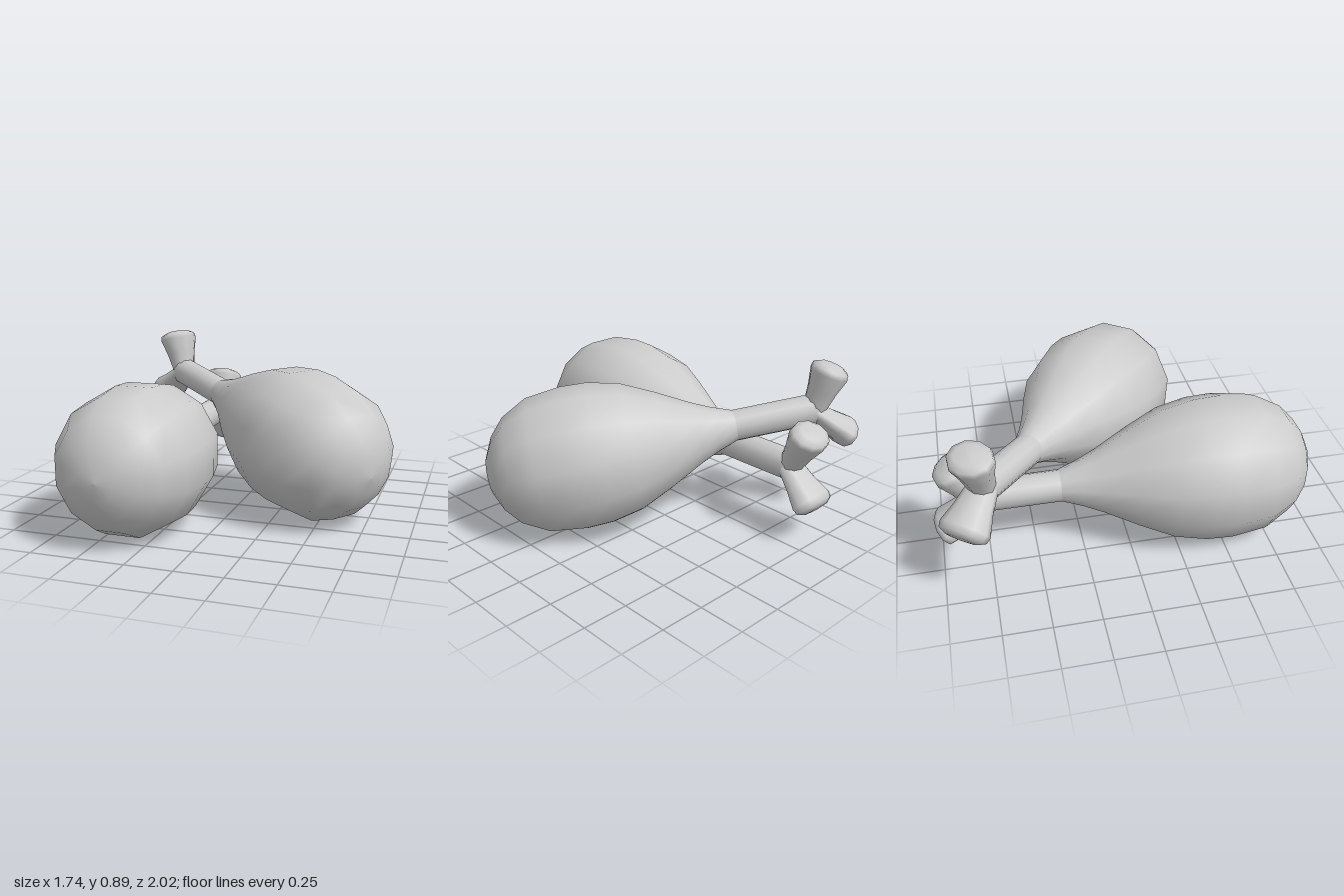
import * as THREE from 'three';

const material = new THREE.MeshStandardMaterial({ color: 0xcccccc });
const SIDES = 12;

// Lathe around the local z axis; profile is [radius, z] with z increasing
function turned(name, profile) {
  const points = profile.map(([r, z]) => new THREE.Vector2(r, z));
  const geometry = new THREE.LatheGeometry(points, SIDES, Math.PI / SIDES);
  geometry.rotateX(Math.PI / 2);
  const mesh = new THREE.Mesh(geometry, material);
  mesh.name = name;
  return mesh;
}

// Flared bone end with a domed tip, running from one point towards another
function knuckle(name, from, to, halfWidth, halfDepth) {
  const start = new THREE.Vector3(...from);
  const end = new THREE.Vector3(...to);
  const length = start.distanceTo(end);
  const points = [[0, -0.05], [0.55, -0.04], [0.6, 0], [0.75, length * 0.4], [0.97, length * 0.78],
    [0.92, length * 0.9], [0.6, length * 0.98], [0, length]].map(([r, y]) => new THREE.Vector2(r, y));
  const geometry = new THREE.LatheGeometry(points, 10);
  geometry.scale(halfWidth, 1, halfDepth);
  // the scaled profile needs fresh normals away from the seam
  const direction = end.clone().sub(start).normalize();
  geometry.applyQuaternion(new THREE.Quaternion().setFromUnitVectors(new THREE.Vector3(0, 1, 0), direction));
  geometry.translate(...from);
  const mesh = new THREE.Mesh(geometry, material);
  mesh.name = name;
  return mesh;
}

// One drumstick: the neck of the meat is at the origin, the meat runs to +z
function drumstick(name) {
  const group = new THREE.Group();
  group.name = name;
  group.add(turned('meat', [
    [0.085, 0], [0.125, 0.11], [0.17, 0.21], [0.265, 0.39], [0.35, 0.57], [0.387, 0.74],
    [0.393, 0.88], [0.37, 1.07], [0.295, 1.21], [0.205, 1.29], [0.1, 1.34], [0, 1.352],
  ]));
  group.add(turned('boneShaft', [[0, -0.49], [0.06, -0.48], [0.085, -0.43], [0.085, 0.02]]));
  group.add(knuckle('upperKnuckle', [0, 0.02, -0.45], [0, 0.235, -0.565], 0.125, 0.105));
  group.add(knuckle('lowerKnuckle', [0, -0.01, -0.44], [0, -0.195, -0.63], 0.14, 0.085));
  return group;
}

export function createModel() {
  const model = new THREE.Group();
  model.name = 'drumsticks';

  const straight = drumstick('straightDrumstick');
  straight.position.set(-0.39, 0.38, -0.36);

  const angled = drumstick('angledDrumstick');
  angled.position.set(-0.27, 0.55, -0.5);
  angled.rotation.set(0.175, 0.93, 0, 'YXZ');

  model.add(straight, angled);
  return model;
}
